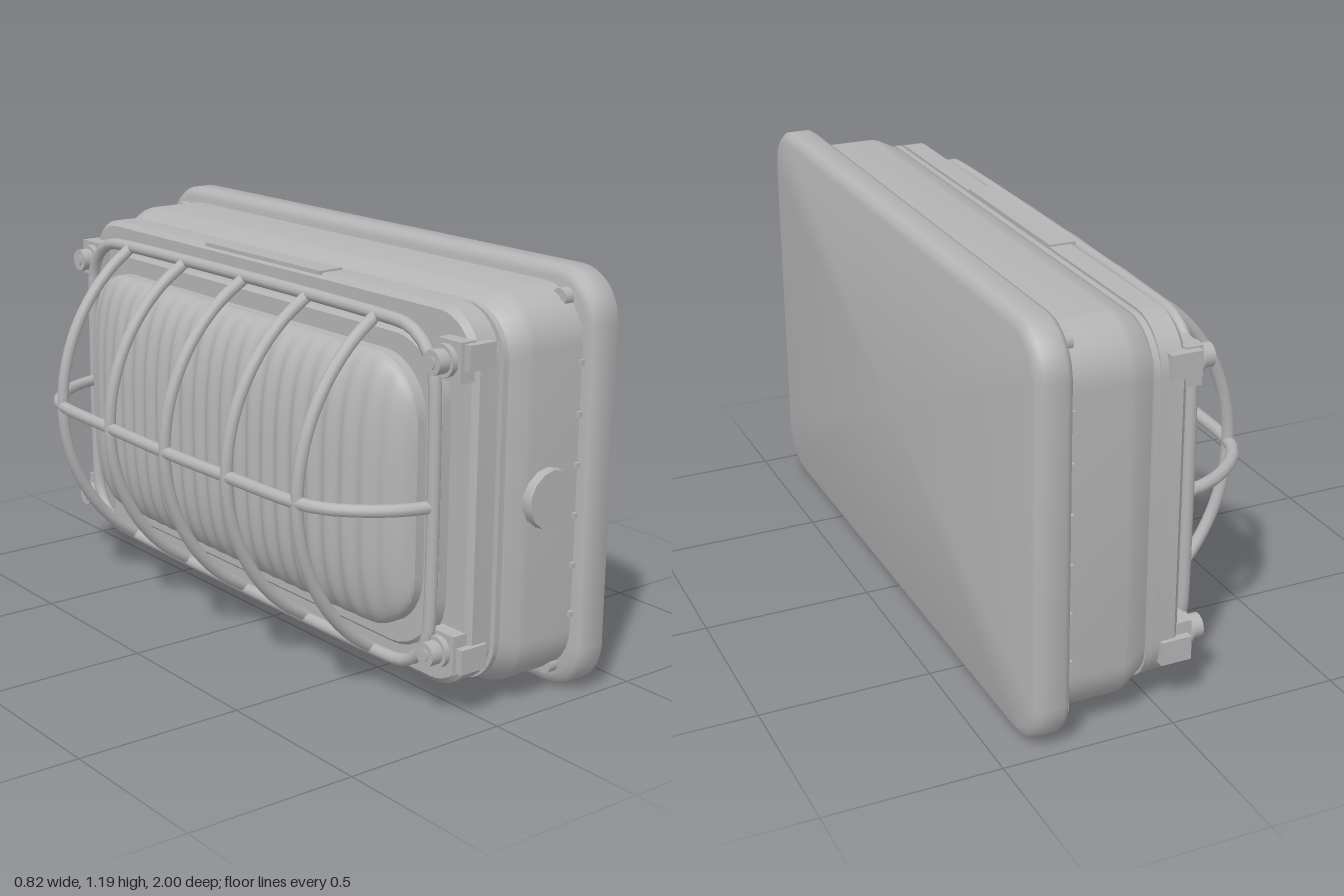
import * as THREE from 'three';
import { toCreasedNormals } from 'three/addons/utils/BufferGeometryUtils.js';

const grey = new THREE.MeshStandardMaterial({ color: 0xb4b4b4 });
grey.name = 'grey metal';

// Rounded rectangle as [z, y] points, counterclockwise seen from -x
function roundedLoop(hz, hy, r, steps = 8) {
  const points = [];
  const corners = [[1, 1], [-1, 1], [-1, -1], [1, -1]];
  corners.forEach(([sz, sy], q) => {
    for (let i = 0; i <= steps; i++) {
      const a = (q + i / steps) * Math.PI / 2;
      points.push([sz * (hz - r) + r * Math.cos(a), sy * (hy - r) + r * Math.sin(a)]);
    }
  });
  return points;
}

// Closed solid through sections [x, halfZ, halfY, cornerRadius], from +x to -x
function loft(sections, crease = 0.6) {
  const first = sections[0], last = sections[sections.length - 1];
  const loops = [[first[0], 0, 0, 0], ...sections, [last[0], 0, 0, 0]]
    .map(([x, hz, hy, r]) => roundedLoop(hz, hy, r).map(([z, y]) => [x, y, z]));
  const n = loops[0].length, index = [];
  for (let i = 0; i < loops.length - 1; i++) {
    for (let j = 0; j < n; j++) {
      const a = i * n + j, b = i * n + (j + 1) % n;
      if (i > 0) index.push(a, b, b + n);
      else index.push(a, b + n, a + n);
      if (i > 0 && i < loops.length - 2) index.push(a, b + n, a + n);
    }
  }
  const g = new THREE.BufferGeometry();
  g.setAttribute('position', new THREE.Float32BufferAttribute(loops.flat(2), 3));
  g.setIndex(index);
  return toCreasedNormals(g, crease);
}

// Ribbed, bulging lens surface facing -x
function lensGeometry() {
  const hz = 0.79, hy = 0.385, r = 0.17;
  const g = new THREE.PlaneGeometry(2, 2, 144, 28);
  const p = g.attributes.position;
  for (let i = 0; i < p.count; i++) {
    const u = p.getX(i), v = Math.sin(p.getY(i) * Math.PI / 2);
    const z = u * hz;
    const d = Math.max(0, Math.abs(z) - (hz - r));
    const edge = hy - r + Math.sqrt(Math.max(0, r * r - d * d));
    const h = Math.sqrt(Math.max(0, (1 - Math.abs(u) ** 4) * (1 - Math.abs(v) ** 3)));
    const rib = 0.007 * Math.cos(z * Math.PI * 2 / 0.067) * h;
    p.setXYZ(i, -0.12 - 0.115 * h - rib, v * edge, z);
  }
  g.computeVertexNormals();
  return g;
}

export function createModel() {
  const model = new THREE.Group();
  const lamp = new THREE.Group();
  lamp.name = 'bulkheadLamp';
  lamp.position.y = 0.597;
  model.add(lamp);

  const add = (name, geometry, x = 0, y = 0, z = 0) => {
    const mesh = new THREE.Mesh(geometry, grey);
    mesh.name = name;
    mesh.position.set(x, y, z);
    lamp.add(mesh);
    return mesh;
  };
  const rod = (name, points, closed = false, radius = 0.018) => {
    const curve = new THREE.CatmullRomCurve3(points, closed, 'centripetal');
    return add(name, new THREE.TubeGeometry(curve, closed ? 120 : 36, radius, 10, closed));
  };
  const peg = (name, r, length, x, y, z, sides = 14) =>
    add(name, new THREE.CylinderGeometry(r, r, length, sides), x, y, z).rotateZ(Math.PI / 2);

  // Wall plate with soft edges
  add('backPlate', loft([
    [0.41, 0.97, 0.567, 0.12], [0.404, 0.987, 0.584, 0.13], [0.39, 1, 0.597, 0.14],
    [0.325, 1, 0.597, 0.14], [0.308, 0.99, 0.587, 0.135], [0.302, 0.97, 0.567, 0.12],
  ], 0.9));

  // Housing, narrowing towards the front
  add('housing', loft([
    [0.31, 0.96, 0.553, 0.15], [0.13, 0.96, 0.553, 0.15], [0.11, 0.957, 0.549, 0.15],
    [0.06, 0.935, 0.525, 0.14], [0.05, 0.93, 0.52, 0.14],
  ]));
  add('gasket', loft([[0.055, 0.94, 0.526, 0.14], [0.037, 0.94, 0.526, 0.14]]));
  add('gasketCore', loft([[0.04, 0.92, 0.508, 0.13], [0.025, 0.92, 0.508, 0.13]]));

  // Front frame and the raised lip around the lens
  add('frontFrame', loft([
    [0.03, 0.93, 0.528, 0.14], [-0.035, 0.93, 0.528, 0.14], [-0.05, 0.915, 0.513, 0.13],
  ]));
  add('lensLip', loft([
    [-0.04, 0.84, 0.445, 0.18], [-0.08, 0.84, 0.445, 0.18], [-0.09, 0.83, 0.435, 0.17],
  ]));
  for (const s of [-1, 1]) {
    add('edgeStrip', new THREE.BoxGeometry(0.08, 0.012, 0.56), -0.01, s * 0.528, 0);
  }

  // Lens
  add('lensRim', loft([[-0.08, 0.79, 0.385, 0.17], [-0.119, 0.79, 0.385, 0.17]]));
  add('lens', lensGeometry());

  // Guard: base ring, five hoops and one long bar
  rod('guardRing', roundedLoop(0.84, 0.475, 0.15, 6)
    .map(([z, y]) => new THREE.Vector3(-0.108, y, z)), true);
  for (const z of [-0.61, -0.305, 0, 0.3, 0.6]) {
    const depth = 0.285 - 0.022 * (z / 0.6) ** 2, half = 0.475;
    const R = (half * half + depth * depth) / (2 * depth);
    const sweep = Math.asin(half / R), points = [];
    for (let i = 0; i <= 12; i++) {
      const a = sweep * (i / 6 - 1);
      points.push(new THREE.Vector3(-0.108 - depth + R * (1 - Math.cos(a)), R * Math.sin(a), z));
    }
    rod('guardHoop', points);
  }
  rod('guardBar', [
    [-0.108, -0.84], [-0.19, -0.815], [-0.28, -0.755], [-0.345, -0.68], [-0.371, -0.61], [-0.385, -0.3],
    [-0.392, 0], [-0.385, 0.3], [-0.371, 0.6], [-0.345, 0.68], [-0.28, 0.755], [-0.19, 0.815], [-0.108, 0.84],
  ].map(([x, z]) => new THREE.Vector3(x, 0, z)));

  // Corner clamps with bolts, and screws behind the housing
  for (const sy of [-1, 1]) {
    for (const sz of [-1, 1]) {
      add('clampArm', new THREE.BoxGeometry(0.05, 0.11, 0.09), -0.068, sy * 0.4, sz * 0.875);
      add('clampHook', new THREE.BoxGeometry(0.09, 0.07, 0.035), -0.037, sy * 0.415, sz * 0.925);
      peg('clampWasher', 0.045, 0.02, -0.1, sy * 0.4, sz * 0.865);
      peg('clampBolt', 0.034, 0.045, -0.123, sy * 0.4, sz * 0.865);
      peg('boltTip', 0.018, 0.02, -0.14, sy * 0.4, sz * 0.865, 6);
      peg('plateScrew', 0.026, 0.04, 0.292, sy * 0.522, sz * 0.895);
    }
  }

  // Small tabs where the housing ends meet the plate
  for (const sz of [-1, 1]) {
    for (let i = 0; i < 6; i++) {
      add('tab', new THREE.BoxGeometry(0.015, 0.016, 0.02), 0.296, -0.355 + i * 0.142, sz * 0.96);
    }
  }

  // Cable entry plug
  add('entryPlug', toCreasedNormals(new THREE.CylinderGeometry(0.083, 0.086, 0.045, 14), 0.6),
    0.19, 0, 0.965).rotateX(Math.PI / 2);

  return model;
}
